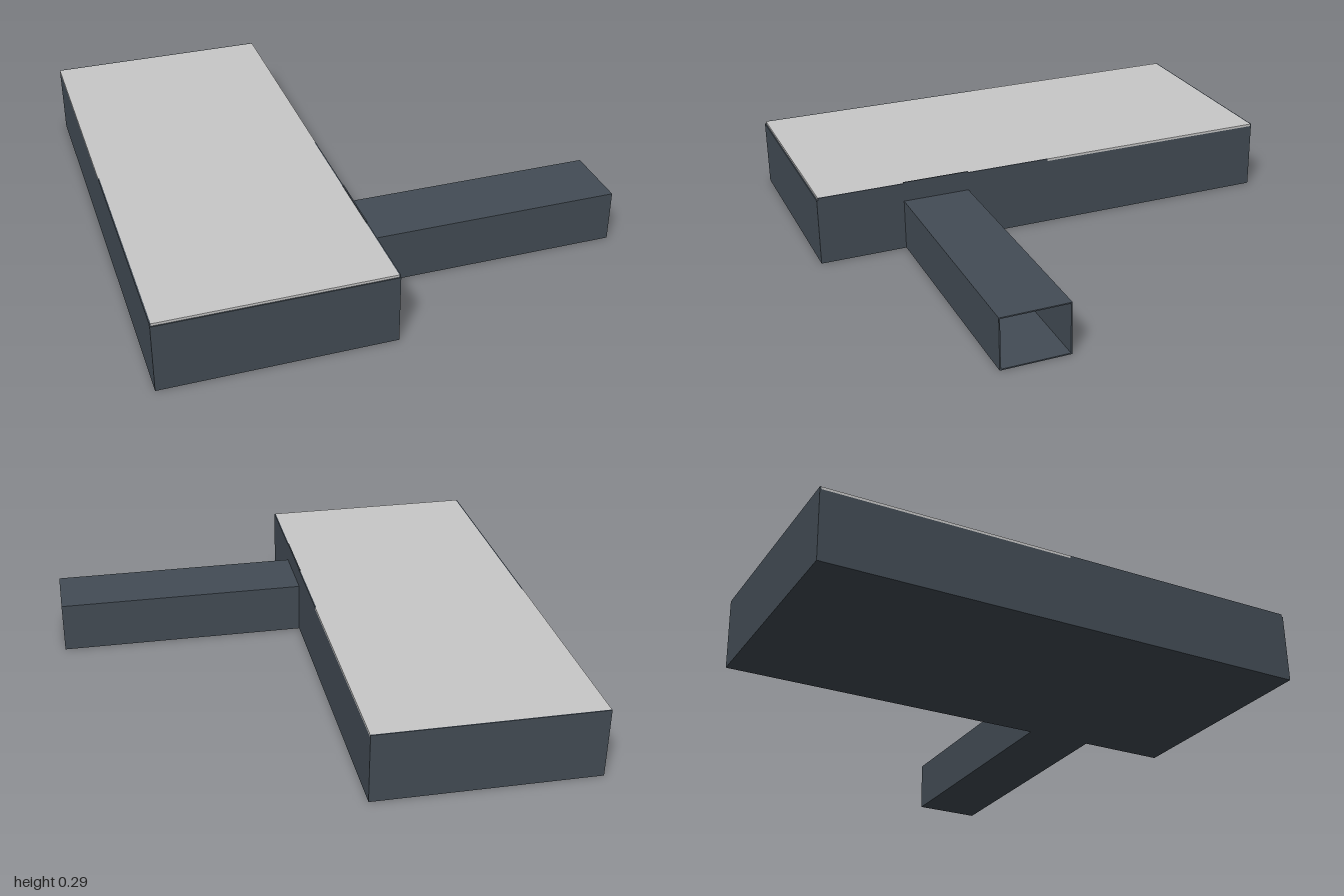
import * as THREE from 'three';

export function createModel() {
  const model = new THREE.Group();
  model.name = 'hallWithTunnel';
  const slate = new THREE.MeshStandardMaterial({ color: 0x434c55 });
  slate.name = 'slate';
  const paleGrey = new THREE.MeshStandardMaterial({ color: 0xc8c8c8 });
  paleGrey.name = 'paleGrey';

  // Box given by its minimum and maximum corners
  function slab(name, material, [x0, y0, z0], [x1, y1, z1]) {
    const mesh = new THREE.Mesh(new THREE.BoxGeometry(x1 - x0, y1 - y0, z1 - z0), material);
    mesh.position.set((x0 + x1) / 2, (y0 + y1) / 2, (z0 + z1) / 2);
    mesh.name = name;
    model.add(mesh);
  }

  const t = 0.005; // plate thickness
  const west = -0.98, east = -0.067, end = 0.98;
  const wallTop = 0.28, roofTop = 0.29, tunnelTop = 0.212;
  const z0 = 0.36, z1 = 0.64; // tunnel sides

  // Hall: floor, roof in two halves, end walls
  slab('floor', slate, [west, 0, -1], [east, t, 1]);
  slab('backRoof', paleGrey, [west, wallTop, -1 + t], [east, roofTop, 0]);
  slab('frontRoof', paleGrey, [west + t, wallTop, 0], [east - t, roofTop, 1 - t]);
  slab('backWall', slate, [west, t, -1], [east, roofTop, -1 + t]);
  slab('frontWall', slate, [west, t, 1 - t], [east, wallTop, 1]);

  // Long side walls; the right one leaves a doorway into the tunnel
  slab('backOuterWall', slate, [west, t, -1 + t], [west + t, wallTop, 0]);
  slab('frontOuterWall', slate, [west, t, 0], [west + t, roofTop, 1 - t]);
  slab('backInnerWall', slate, [east - t, t, -1 + t], [east, wallTop, 0]);
  slab('middleInnerWall', slate, [east - t, t, 0], [east, roofTop, z0]);
  slab('frontInnerWall', slate, [east - t, t, z1], [east, roofTop, 1 - t]);
  slab('doorLintel', slate, [east - t, tunnelTop - t, z0], [east, 0.295, z1]);

  // Square tunnel, open at its far end
  slab('tunnelFloor', slate, [east, 0, z0], [end, t, z1]);
  slab('tunnelRoof', slate, [east, tunnelTop - t, z0], [end, tunnelTop, z1]);
  for (const [name, z] of [['tunnelBackWall', z0], ['tunnelFrontWall', z1 - t]]) {
    slab(name, slate, [east, t, z], [end, tunnelTop - t, z + t]);
  }
  return model;
}
